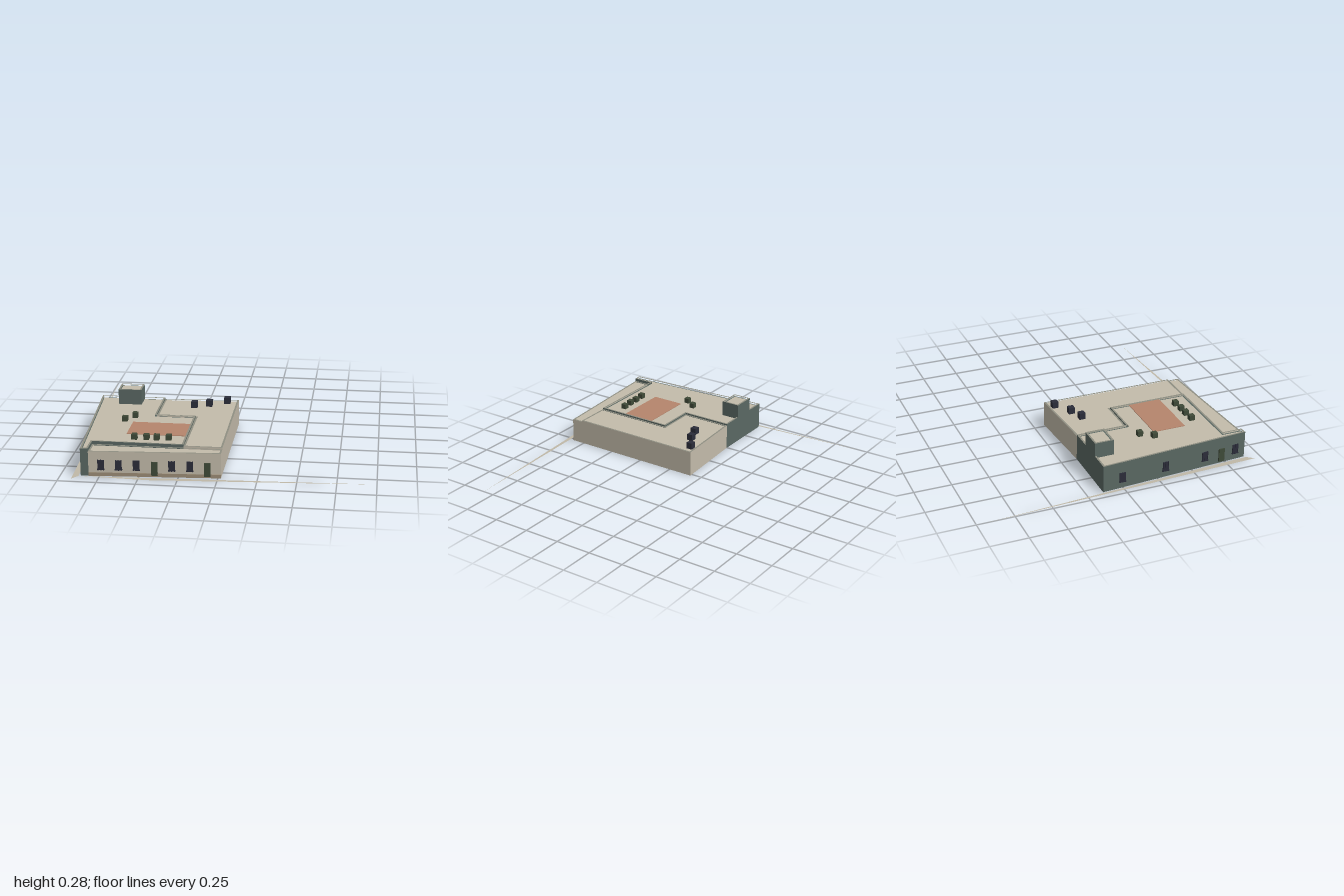
import * as THREE from 'three';

const mat = (name, color, side = THREE.FrontSide) =>
  Object.assign(new THREE.MeshStandardMaterial({ color, side }), { name });

export function createModel() {
  const root = new THREE.Group();
  root.name = 'building';
  const beige = mat('beige plaster', 0xc4bcab);
  const paving = mat('pavement beige', 0xc0b9a8, THREE.DoubleSide);
  const teal = mat('dark teal wall', 0x5a6863);
  const trim = mat('coping grey', 0x8f8f82);
  const brick = mat('terracotta paving', 0xb5856c);
  const green = mat('dark green', 0x3f4a38);
  const navy = mat('dark navy', 0x2b2d3a);
  const plinth = mat('plinth brown', 0x9c8d76);

  const add = (name, geo, material, parent = root) => {
    const m = new THREE.Mesh(geo, material);
    m.name = name;
    parent.add(m);
    return m;
  };
  const box = (name, w, h, d, x, y, z, material, parent) =>
    add(name, new THREE.BoxGeometry(w, h, d), material, parent).position.set(x, y, z);

  // Plan outlines are [x, z] corners; they are extruded upwards from y0 to y1
  const toV = (pts) => pts.map(([x, z]) => new THREE.Vector2(x, -z));
  const prism = (pts, y0, y1, hole) => {
    const shape = new THREE.Shape(toV(pts));
    if (hole) shape.holes.push(new THREE.Path(toV(hole)));
    return new THREE.ExtrudeGeometry(shape, { depth: y1 - y0, bevelEnabled: false })
      .rotateX(-Math.PI / 2).translate(0, y0, 0);
  };

  // Mitred inset of a plan outline
  const inset = (pts, d) => {
    const s = THREE.ShapeUtils.area(pts.map(([x, y]) => new THREE.Vector2(x, y))) > 0 ? 1 : -1;
    const n = pts.length;
    const normal = (a, b) => {
      const l = Math.hypot(b[0] - a[0], b[1] - a[1]);
      return [-s * (b[1] - a[1]) / l, s * (b[0] - a[0]) / l];
    };
    return pts.map((p, i) => {
      const u = normal(pts[(i + n - 1) % n], p), v = normal(p, pts[(i + 1) % n]);
      const k = d / (1 + u[0] * v[0] + u[1] * v[1]);
      return [p[0] + (u[0] + v[0]) * k, p[1] + (u[1] + v[1]) * k];
    });
  };

  // Walls, roof deck and a raised coping around the edge
  const block = (name, pts, y0, deck, top, wall) => {
    const inner = inset(pts, 0.012);
    add(name + 'Walls', prism(pts, y0, deck - 0.002), wall);
    add(name + 'Roof', prism(inner, deck - 0.002, deck), beige);
    add(name + 'Coping', prism(pts, deck - 0.002, top, inner), [trim, wall]);
  };

  block('tealWing', [[-0.94, -0.14], [-0.495, -0.14], [-0.495, 0.21], [-0.23, 0.21],
    [-0.23, 0.76], [-0.82, 0.76], [-0.82, 0.893], [-0.87, 0.897]], 0, 0.172, 0.185, teal);
  block('beigeWing', [[-0.495, -0.14], [0.02, -0.173], [0.02, 0.76], [-0.23, 0.76],
    [-0.23, 0.21], [-0.495, 0.21]], 0, 0.168, 0.175, beige);
  block('frontStrip', [[-0.82, 0.76], [0.02, 0.76], [0.02, 0.84], [-0.82, 0.893]],
    0, 0.158, 0.165, beige);
  block('stairHouse', [[-0.8, -0.14], [-0.64, -0.14], [-0.64, -0.01], [-0.8, -0.01]],
    0.16, 0.267, 0.278, teal);

  // Roof terrace
  box('terrace', 0.4, 0.004, 0.226, -0.432, 0.174, 0.462, brick);

  // Planters and rooftop units
  [[-0.69, 0.325], [-0.635, 0.245], [-0.565, 0.655], [-0.487, 0.65], [-0.42, 0.65], [-0.342, 0.645]]
    .forEach(([x, z]) => box('planter', 0.036, 0.036, 0.036, x, 0.189, z, green));
  [[-0.27, -0.015], [-0.172, -0.052], [-0.055, -0.125]]
    .forEach(([x, z]) => box('roofUnit', 0.042, 0.044, 0.042, x, 0.19, z, navy));

  // Facade groups: local x runs along the wall, local z points outwards
  const facade = (name, a, b) => {
    const g = new THREE.Group();
    g.name = name;
    g.position.set(a[0], 0, a[1]);
    g.rotation.y = Math.atan2(a[1] - b[1], b[0] - a[0]);
    root.add(g);
    return g;
  };
  const windowAt = (g, x) => {
    box('windowPane', 0.036, 0.066, 0.006, x, 0.075, 0.002, navy, g);
    [-0.018, 0, 0.018].forEach((o) => box('windowBar', 0.006, 0.07, 0.008, x + o, 0.075, 0.003, navy, g));
    box('windowSill', 0.048, 0.006, 0.009, x, 0.046, 0.004, navy, g);
  };
  const doorAt = (g, x) => box('door', 0.042, 0.092, 0.008, x, 0.057, 0.004, green, g);

  const front = facade('frontFacade', [-0.82, 0.893], [0.02, 0.84]);
  box('plinth', 0.84, 0.024, 0.004, 0.421, 0.012, 0.001, plinth, front);
  [-0.74, -0.628, -0.515, -0.29, -0.175].forEach((x) => windowAt(front, x + 0.82));
  [-0.4, -0.065].forEach((x) => doorAt(front, x + 0.82));

  const side = facade('sideFacade', [-0.94, -0.14], [-0.87, 0.897]);
  [0.13, 0.43, 0.71, 0.93].forEach((x) => windowAt(side, x * 1.04));
  doorAt(side, 0.83 * 1.04);

  // Pavement slivers along both streets
  const sliver = (name, pts) =>
    add(name, new THREE.ShapeGeometry(new THREE.Shape(toV(pts))).rotateX(-Math.PI / 2), paving);
  sliver('sidePavement', [[-1, -0.945], [-0.883, 0.905], [-0.92, 0.955]]);
  sliver('frontPavement', [[-0.86, 0.906], [-0.43, 0.925], [1, 0.83]]);

  return root;
}
